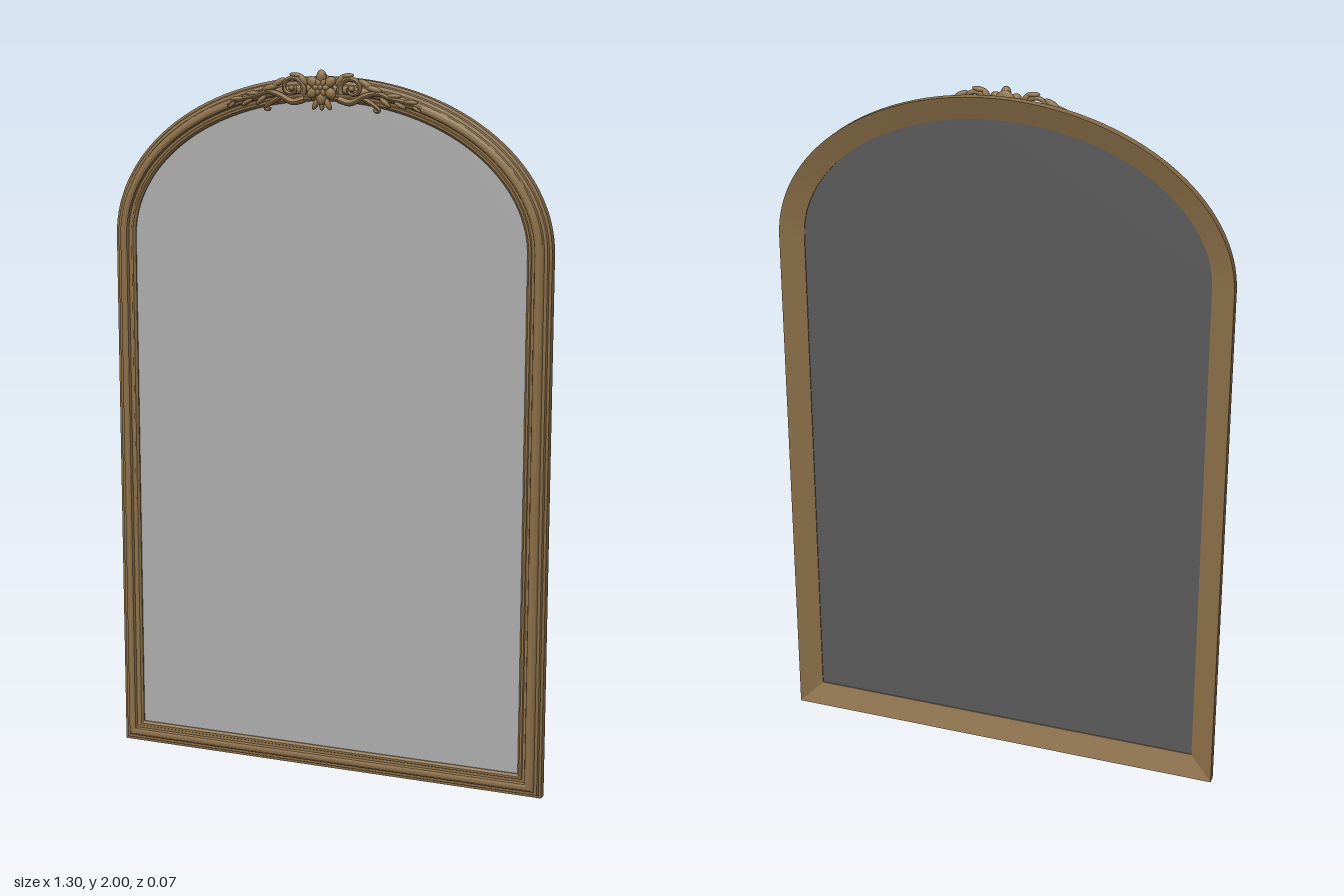
import * as THREE from 'three';
import { toCreasedNormals } from 'three/addons/utils/BufferGeometryUtils.js';

const SPRING = 1.52; // height where the arch begins

// Arched outline, inset by d, counter-clockwise from the lower left corner
function outline(d) {
  const a = 0.65 - d, b = 0.46 - d, pts = [[-a, d], [a, d]];
  for (let i = 0; i <= 64; i++) {
    const t = (Math.PI * i) / 64;
    pts.push([a * Math.cos(t), SPRING + b * Math.sin(t)]);
  }
  return pts;
}

// Sweep a closed (inset, z) profile around the outline
function sweepFrame(profile) {
  const rings = profile.map(([d, z]) => outline(d).map(([x, y]) => [x, y, z]));
  const pos = [], n = rings[0].length, m = rings.length;
  for (let j = 0; j < m; j++) {
    const p = rings[j], q = rings[(j + 1) % m];
    for (let i = 0; i < n; i++) {
      const k = (i + 1) % n;
      pos.push(...p[i], ...p[k], ...q[k], ...p[i], ...q[k], ...q[i]);
    }
  }
  const g = new THREE.BufferGeometry();
  g.setAttribute('position', new THREE.Float32BufferAttribute(pos, 3));
  return toCreasedNormals(g, 0.45);
}

// Tube that tapers from radius r0 to r1
function taperedTube(points, r0, r1) {
  const curve = new THREE.CatmullRomCurve3(points);
  const seg = 36, rad = 8, g = new THREE.TubeGeometry(curve, seg, 1, rad);
  const p = g.attributes.position, v = new THREE.Vector3();
  for (let i = 0; i <= seg; i++) {
    const c = curve.getPointAt(i / seg), r = THREE.MathUtils.lerp(r0, r1, i / seg);
    for (let j = 0; j <= rad; j++) {
      const k = i * (rad + 1) + j;
      v.fromBufferAttribute(p, k).sub(c).multiplyScalar(r).add(c);
      p.setXYZ(k, v.x, v.y, v.z);
    }
  }
  g.computeVertexNormals();
  return g;
}

export function createModel() {
  const root = new THREE.Group();
  root.name = 'archedMirror';
  const wood = new THREE.MeshStandardMaterial({ color: 0x8b6f48 });
  wood.name = 'antiqueGold';
  const silver = new THREE.MeshStandardMaterial({ color: 0xacacac });
  silver.name = 'mirrorGrey';
  const dark = new THREE.MeshStandardMaterial({ color: 0x5a5a5a });
  dark.name = 'backingGrey';

  const add = (parent, name, geo, mat) => {
    const mesh = new THREE.Mesh(geo, mat);
    mesh.name = name;
    parent.add(mesh);
    return mesh;
  };

  // Moulded frame: stepped front, bevelled back
  add(root, 'frame', sweepFrame([
    [0, -0.035], [0, -0.01], [0.007, -0.008], [0.01, -0.001], [0.018, 0.001],
    [0.021, 0.008], [0.028, 0.013], [0.035, 0.014], [0.042, 0.011], [0.045, 0.003],
    [0.052, 0.002], [0.054, 0.006], [0.06, 0.006], [0.066, 0], [0.066, -0.012],
  ]), wood);

  // Glass and backing panel
  const pane = new THREE.ShapeGeometry(
    new THREE.Shape(outline(0.062).map(([x, y]) => new THREE.Vector2(x, y))));
  add(root, 'mirrorGlass', pane, silver).position.z = -0.004;
  const back = add(root, 'backingPanel', pane, dark);
  back.position.z = -0.009;
  back.rotation.y = Math.PI;

  // Carved crest
  const crest = new THREE.Group();
  crest.name = 'crest';
  root.add(crest);
  const ball = new THREE.SphereGeometry(1, 16, 10);
  const blob = (name, x, y, z, sx, sy, sz, angle = 0) => {
    const mesh = add(crest, name, ball, wood);
    mesh.position.set(x, y, z);
    mesh.scale.set(sx, sy, sz);
    mesh.rotation.z = angle;
  };

  // Central flower: two rings of petals around a button
  blob('flowerBase', 0, 1.95, 0.014, 0.032, 0.04, 0.01);
  for (let i = 0; i < 6; i++) {
    const t = Math.PI / 2 + (i * Math.PI) / 3;
    blob('outerPetal', 0.029 * Math.cos(t), 1.952 + 0.029 * Math.sin(t), 0.021,
      0.019, 0.014, 0.01, t);
    blob('innerPetal', 0.014 * Math.cos(t + 0.5), 1.952 + 0.014 * Math.sin(t + 0.5), 0.026,
      0.011, 0.008, 0.007, t + 0.5);
  }
  blob('flowerButton', 0, 1.952, 0.028, 0.008, 0.008, 0.007);
  for (const k of [-1, 0, 1])
    blob('lowerLeaf', 0.018 * k, 1.907, 0.018, 0.008, 0.018, 0.008, 0.5 * k);

  for (const s of [1, -1]) {
    const v = (x, y, z) => new THREE.Vector3(s * x, y, z);

    // Large scroll curling beside the flower
    const spiral = [];
    for (let i = 0; i <= 16; i++) {
      const t = -0.5 + i * 0.5, r = 0.034 * (1 - i / 19);
      spiral.push(v(0.088 - r * Math.cos(t) * 1.1, 1.949 + r * Math.sin(t), 0.02));
    }
    add(crest, 'scroll', taperedTube(spiral, 0.009, 0.004), wood);
    blob('scrollEye', s * 0.088, 1.949, 0.02, 0.009, 0.008, 0.009);

    // S-shaped stem following the arch, ending in a small curl
    add(crest, 'stem', taperedTube([
      v(0.05, 1.92, 0.018), v(0.085, 1.912, 0.021), v(0.125, 1.93, 0.021),
      v(0.16, 1.938, 0.019), v(0.2, 1.925, 0.016), v(0.24, 1.916, 0.014),
      v(0.285, 1.901, 0.013),
    ], 0.01, 0.004), wood);
    add(crest, 'lowerCurl', taperedTube([
      v(0.12, 1.925, 0.02), v(0.15, 1.908, 0.02), v(0.168, 1.893, 0.019),
      v(0.158, 1.889, 0.018), v(0.152, 1.897, 0.018),
    ], 0.008, 0.004), wood);

    // Acanthus leaves: [x, y, length, width, angle]
    for (const [x, y, l, w, a] of [
      [0.055, 1.972, 0.02, 0.009, 0.9], [0.075, 1.984, 0.02, 0.007, 0.1],
      [0.128, 1.963, 0.024, 0.009, -0.5], [0.15, 1.95, 0.026, 0.009, -0.25],
      [0.182, 1.915, 0.02, 0.007, -0.7], [0.205, 1.932, 0.024, 0.007, 0],
      [0.225, 1.908, 0.02, 0.006, -0.5], [0.255, 1.917, 0.022, 0.006, -0.1],
      [0.272, 1.899, 0.014, 0.005, -0.6],
    ]) blob('leaf', s * x, y, x < 0.17 ? 0.02 : 0.014, l, w, 0.008, s * a);
  }
  return root;
}
